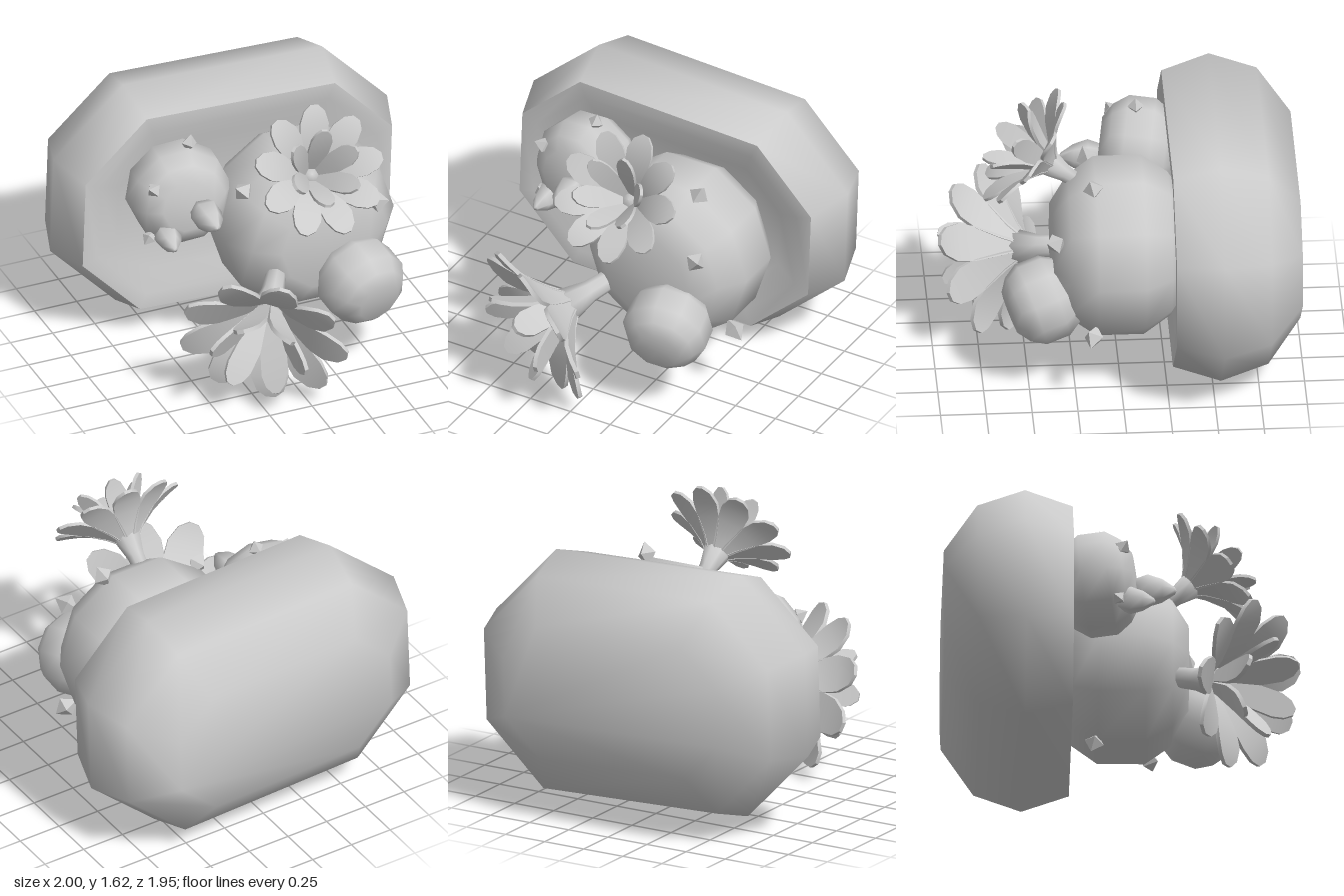
import * as THREE from 'three';
import { toCreasedNormals } from 'three/addons/utils/BufferGeometryUtils.js';

const V = (x, y, z) => new THREE.Vector3(x, y, z);
const UP = V(0, 1, 0);
const material = new THREE.MeshStandardMaterial({ color: 0xcccccc });

function addMesh(parent, name, geometry) {
  const mesh = new THREE.Mesh(geometry, material);
  mesh.name = name;
  parent.add(mesh);
  return mesh;
}

// Moves an object and turns its y axis towards the given direction
function place(object, position, axis) {
  object.position.copy(position);
  object.quaternion.setFromUnitVectors(UP, axis.clone().normalize());
  return object;
}

// Closed skin over cross-section loops, each with the same number of points
function loft(loops, crease) {
  const n = loops[0].length;
  const points = loops.flat();
  const index = [];
  for (let k = 0; k < loops.length - 1; k++) {
    for (let i = 0; i < n; i++) {
      const j = (i + 1) % n;
      const a = k * n + i, b = a + n, c = k * n + j, d = c + n;
      index.push(a, b, c, c, b, d);
    }
  }
  const last = (loops.length - 1) * n;
  for (let i = 1; i < n - 1; i++) {
    index.push(0, i, i + 1, last, last + i + 1, last + i);
  }
  const geometry = new THREE.BufferGeometry().setFromPoints(points);
  geometry.setIndex(index);
  return toCreasedNormals(geometry, crease);
}

// Long octagon with its edges moved inwards by d
function octagon(z, d) {
  const w = 0.988 - d, b = 0.29 - 0.41 * d, a = 0.59 - 0.41 * d, h = 0.682 - d;
  return [[w, -b], [w, b], [a, h], [-a, h], [-w, b], [-w, -b], [-a, -h], [a, -h]]
    .map(([x, y]) => V(x, y, z));
}

function lathe(profile, sides) {
  return new THREE.LatheGeometry(profile.map(([r, y]) => new THREE.Vector2(r, y)), sides, Math.PI / 2);
}

// Unit ball with flattened ends
const ballProfile = [[0, -0.73], [0.52, -0.73], [0.8, -0.55], [1, -0.26],
  [1, 0.26], [0.8, 0.55], [0.52, 0.73], [0, 0.73]];

// Thin petal swept along a curve of [radius, height, half width]
function petalGeometry(path) {
  const t = 0.009;
  const loops = path.map(([r, h, w], i) => {
    const p = path[Math.max(i - 1, 0)], q = path[Math.min(i + 1, path.length - 1)];
    const len = Math.hypot(q[0] - p[0], q[1] - p[1]);
    const nr = -(q[1] - p[1]) / len * t, nh = (q[0] - p[0]) / len * t;
    return [V(r + nr, h + nh, -w), V(r - nr, h - nh, -w), V(r - nr, h - nh, w), V(r + nr, h + nh, w)];
  });
  return loft(loops, 0.6);
}

const outerPetal = petalGeometry([[0.03, 0.13, 0.02], [0.10, 0.20, 0.045], [0.19, 0.265, 0.075],
  [0.27, 0.305, 0.082], [0.335, 0.325, 0.06], [0.37, 0.33, 0.022]]);
const innerPetal = petalGeometry([[0.02, 0.13, 0.015], [0.06, 0.21, 0.035], [0.11, 0.31, 0.058],
  [0.16, 0.39, 0.06], [0.19, 0.43, 0.045], [0.21, 0.455, 0.016]]);

function createFlower(name, position, axis, scale) {
  const flower = new THREE.Group();
  flower.name = name;
  addMesh(flower, 'flowerStem', lathe([[0, -0.05], [0.045, -0.05], [0.05, 0.05], [0.08, 0.17], [0, 0.18]], 8));
  const rings = [['outerPetal', outerPetal, 9, 0], ['innerPetal', innerPetal, 6, 0.3]];
  for (const [label, geometry, count, start] of rings) {
    for (let i = 0; i < count; i++) {
      addMesh(flower, label, geometry).rotation.y = start + i * Math.PI * 2 / count;
    }
  }
  flower.scale.setScalar(scale);
  return place(flower, position, axis);
}

export function createModel() {
  const model = new THREE.Group();
  model.name = 'cactusInPot';

  // Pot lying on its side, with a flat rim and a shallow soil face
  const potLoops = [[-0.33, 0.3], [-0.28, 0.17], [-0.28, 0.08], [-0.54, 0], [-0.8, 0.08], [-0.98, 0.31]]
    .map(([z, d]) => octagon(z, d));
  const pot = addMesh(model, 'pot', loft(potLoops, 1.05));
  pot.position.y = 0.78;
  pot.rotation.z = -0.035;

  // Round cactus bodies: name, centre, axis, radius, stretch along the axis
  const balls = [
    ['largeBody', V(0.25, 0.77, 0), V(0, 0, 1), 0.5, 1],
    ['smallBody', V(-0.41, 0.99, -0.14), V(-0.12, 0.1, 1), 0.283, 1],
    ['sideBody', V(0.425, 0.54, 0.425), V(0.2, -0.3, 1), 0.237, 1.1],
  ];
  for (const [name, position, axis, radius, stretch] of balls) {
    const ball = place(addMesh(model, name, lathe(ballProfile, 10)), position, axis);
    ball.scale.set(radius, radius * stretch, radius);
  }

  // Pointed buds on the small body
  const budProfile = [[0, 0], [0.06, 0.01], [0.09, 0.09], [0.065, 0.17], [0.02, 0.24], [0, 0.25]];
  place(addMesh(model, 'bud', lathe(budProfile, 6)), V(-0.36, 0.98, 0.04), V(0, 0, 1));
  const lowBud = place(addMesh(model, 'bud', lathe(budProfile, 6)), V(-0.54, 0.84, -0.04), V(-0.1, -0.08, 1));
  lowBud.scale.setScalar(0.85);

  // Small spikes standing on the bodies: position, body, size
  const spikes = [
    [V(0.46, 1.25, 0.15), 0, 0.065], [V(0.56, 0.97, 0.36), 0, 0.065],
    [V(0.69, 0.45, 0.16), 0, 0.065], [V(-0.15, 1.09, 0.15), 0, 0.065],
    [V(0.1, 0.28, -0.15), 0, 0.06], [V(-0.35, 1.29, -0.13), 1, 0.05],
    [V(-0.61, 1.12, -0.01), 1, 0.05], [V(-0.63, 0.81, -0.03), 1, 0.045],
  ];
  for (const [position, owner, size] of spikes) {
    const spike = addMesh(model, 'spike', new THREE.OctahedronGeometry(size));
    place(spike, position, position.clone().sub(balls[owner][1]));
    spike.scale.set(0.9, 1.1, 0.9);
  }

  // Flowers growing from the large body
  model.add(createFlower('topFlower', V(0.16, 1.15, 0.25), V(-0.03, 0.61, 0.79), 0.99));
  model.add(createFlower('lowFlower', V(-0.05, 0.6, 0.35), V(-0.52, -0.33, 0.82), 1.26));
  return model;
}
